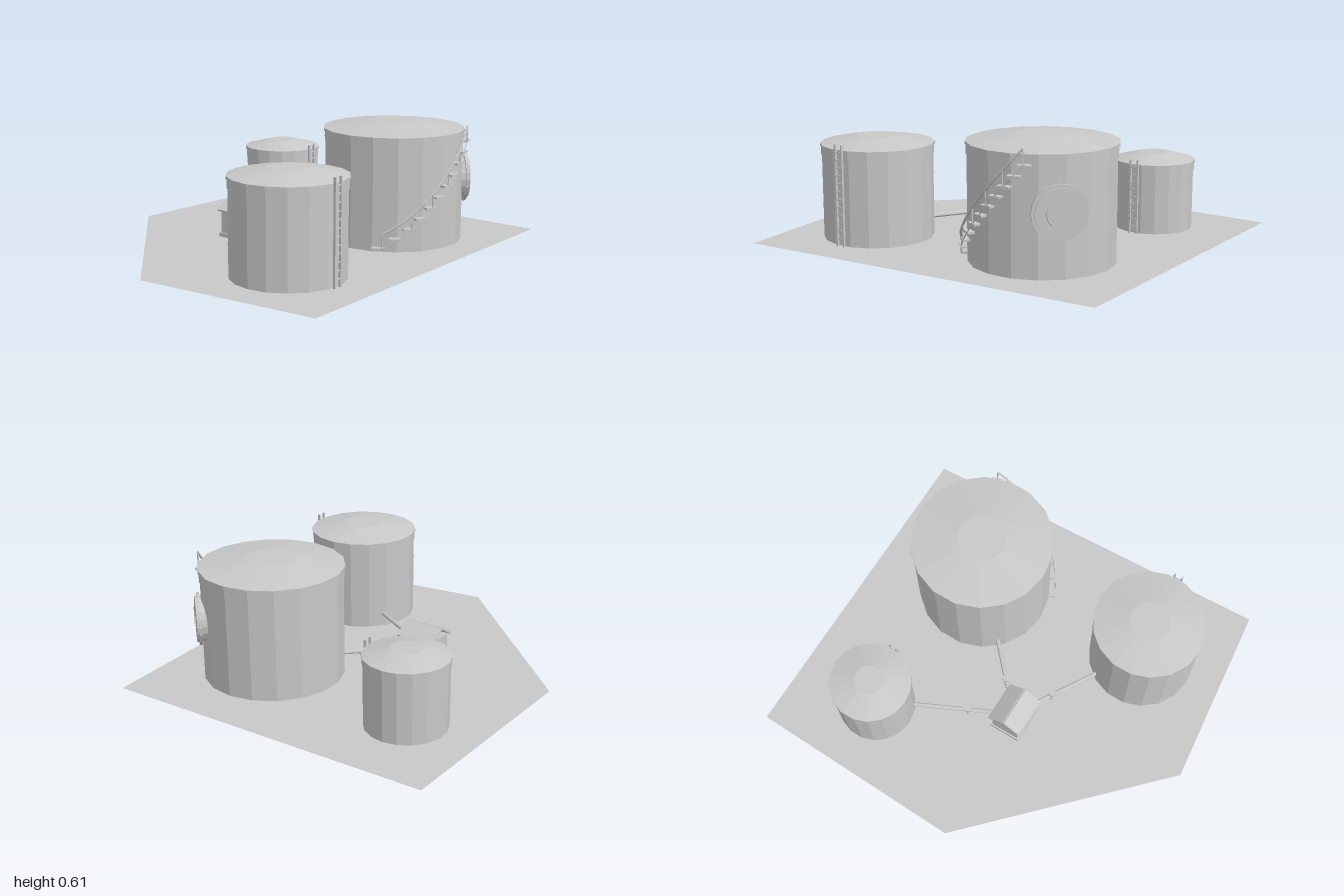
import * as THREE from 'three';

const steel = new THREE.MeshStandardMaterial({ color: 0xc8c8c8, flatShading: true, side: THREE.DoubleSide });
steel.name = 'pale grey';

function add(parent, name, geometry, x = 0, y = 0, z = 0) {
  const mesh = new THREE.Mesh(geometry, steel);
  mesh.name = name;
  mesh.position.set(x, y, z);
  parent.add(mesh);
  return mesh;
}

function subgroup(parent, name, x = 0, y = 0, z = 0) {
  const g = new THREE.Group();
  g.name = name;
  g.position.set(x, y, z);
  parent.add(g);
  return g;
}

// Straight round bar between two points
function bar(parent, name, a, b, radius, sides = 8) {
  const d = b.clone().sub(a);
  const mesh = add(parent, name, new THREE.CylinderGeometry(radius, radius, d.length(), sides));
  mesh.position.copy(a).add(b).multiplyScalar(0.5);
  mesh.quaternion.setFromUnitVectors(new THREE.Vector3(0, 1, 0), d.normalize());
  return mesh;
}

const V = (x, y, z) => new THREE.Vector3(x, y, z);

// Faceted tank: wall, wider upper band, eave and shallow cone roof
function tank(parent, name, { x, z, r, rim, step, eave, top, flat, seams }) {
  const g = subgroup(parent, name, x, 0, z);
  const band = r + 0.004;
  const wall = [[r, 0], [r, step], [band, step], [band, eave - 0.014]];
  const roof = [[band, eave - 0.014], [rim, eave - 0.014], [rim, eave], [flat, top], [0, top]];
  const lathe = (pts) => new THREE.LatheGeometry(pts.map((p) => new THREE.Vector2(...p)), 18);
  add(g, 'wall', lathe(wall));
  add(g, 'roof', lathe(roof));
  for (const y of seams) add(g, 'seam', new THREE.CylinderGeometry(r + 0.002, r + 0.002, 0.005, 18, 1, true), 0, y, 0);
  return g;
}

// Ladder standing against the +x side of a tank
function ladder(parent, x, height) {
  const g = subgroup(parent, 'ladder', x);
  for (const s of [-1, 1]) add(g, 'ladderRail', new THREE.BoxGeometry(0.012, height, 0.008), 0, height / 2, s * 0.02);
  const count = Math.round(height / 0.038);
  for (let i = 1; i < count; i++) add(g, 'rung', new THREE.BoxGeometry(0.007, 0.007, 0.036), 0, (i * height) / count, 0);
}

// Stairs that wind round the tank wall, with posts and a handrail
function stairs(parent) {
  const g = subgroup(parent, 'stairs');
  const at = (t, radius, lift) => {
    const w = 0.335 - t * 0.465;
    return V(Math.sqrt(radius * radius - w * w), 0.02 + t * 0.5 + lift, w);
  };
  const count = 11;
  for (let i = 0; i < count; i++) {
    const p = at(i / (count - 1), 0.37, 0);
    const tread = add(g, 'tread', new THREE.BoxGeometry(0.034, 0.01, 0.062), p.x, p.y, p.z);
    tread.rotation.y = -Math.atan2(p.z, p.x);
    if (i % 2 === 0) {
      const q = at(i / (count - 1), 0.382, 0);
      bar(g, 'railPost', q, q.clone().add(V(0, 0.075, 0)), 0.004, 6);
    }
  }
  for (const [name, lift] of [['handrail', 0.075], ['stringer', 0.0]]) {
    const pts = [];
    for (let i = 0; i <= 12; i++) pts.push(at(i / 12, 0.382, lift));
    add(g, name, new THREE.TubeGeometry(new THREE.CatmullRomCurve3(pts), 24, lift ? 0.006 : 0.003, 6));
  }
}

// Round hatch on the tank wall, facing back and to the model's left
function hatch(parent) {
  const g = subgroup(parent, 'hatch', 0, 0.31, 0);
  g.rotation.y = Math.PI * 0.75;
  const disc = (name, r, depth, z) => {
    add(g, name, new THREE.CylinderGeometry(r, r, depth, 20), 0, 0, z).rotation.x = Math.PI / 2;
  };
  disc('hatchNeck', 0.115, 0.05, 0.345);
  disc('hatchFlange', 0.13, 0.014, 0.363);
  disc('hatchLid', 0.115, 0.012, 0.374);
  const handle = new THREE.TorusGeometry(0.06, 0.004, 6, 12, Math.PI * 0.6);
  add(g, 'hatchHandle', handle, 0, 0, 0.382).rotation.z = Math.PI * 0.7;
}

export function createModel() {
  const model = new THREE.Group();
  model.name = 'tankFarm';

  // Ground plate
  const outline = [[-0.89, -1], [0.83, -1], [0.92, 0.9], [-0.03, 1], [-0.92, 0.13]];
  const ground = new THREE.ShapeGeometry(new THREE.Shape(outline.map(([x, z]) => new THREE.Vector2(x, -z))));
  add(model, 'ground', ground).rotation.x = -Math.PI / 2;

  // Tanks
  const large = tank(model, 'largeTank', {
    x: 0.34, z: -0.42, r: 0.353, rim: 0.362, step: 0.51, eave: 0.57, top: 0.605, flat: 0.125, seams: [0.19, 0.38],
  });
  stairs(large);
  hatch(large);
  const medium = tank(model, 'mediumTank', {
    x: 0.43, z: 0.505, r: 0.277, rim: 0.285, step: 0.42, eave: 0.477, top: 0.512, flat: 0.1, seams: [0.16, 0.315],
  });
  ladder(medium, 0.288, 0.505);
  const small = tank(model, 'smallTank', {
    x: -0.525, z: -0.545, r: 0.2, rim: 0.208, step: 0.3, eave: 0.355, top: 0.39, flat: 0.075, seams: [],
  });
  ladder(small, 0.213, 0.38);

  // Pump hut with an open gable roof
  const hut = subgroup(model, 'pumpHut', -0.215, 0, 0.108);
  add(hut, 'hutBase', new THREE.BoxGeometry(0.2, 0.02, 0.165), 0, 0.01, 0);
  add(hut, 'hutWalls', new THREE.BoxGeometry(0.185, 0.14, 0.15), 0, 0.07, 0);
  for (const s of [-1, 1]) {
    const slab = add(hut, 'hutRoof', new THREE.BoxGeometry(0.212, 0.01, 0.104), 0, 0.166, s * 0.045);
    slab.rotation.x = s * 0.56;
  }

  // Pipes from the hut to each tank, with a valve on a post
  const runs = [
    [-0.24, 0.06, -0.45, -0.38, -0.322, -0.112],
    [-0.17, 0.06, 0.1, -0.19, -0.08, -0.025],
    [-0.17, 0.135, 0.22, 0.37, -0.024, 0.222],
  ];
  for (const [x1, z1, x2, z2, vx, vz] of runs) {
    const g = subgroup(model, 'pipeRun');
    bar(g, 'pipe', V(x1, 0.068, z1), V(x2, 0.068, z2), 0.011);
    bar(g, 'valvePost', V(vx, 0, vz), V(vx, 0.09, vz), 0.005, 6);
    add(g, 'valveWheel', new THREE.CylinderGeometry(0.018, 0.018, 0.012, 12), vx, 0.095, vz);
  }
  return model;
}
